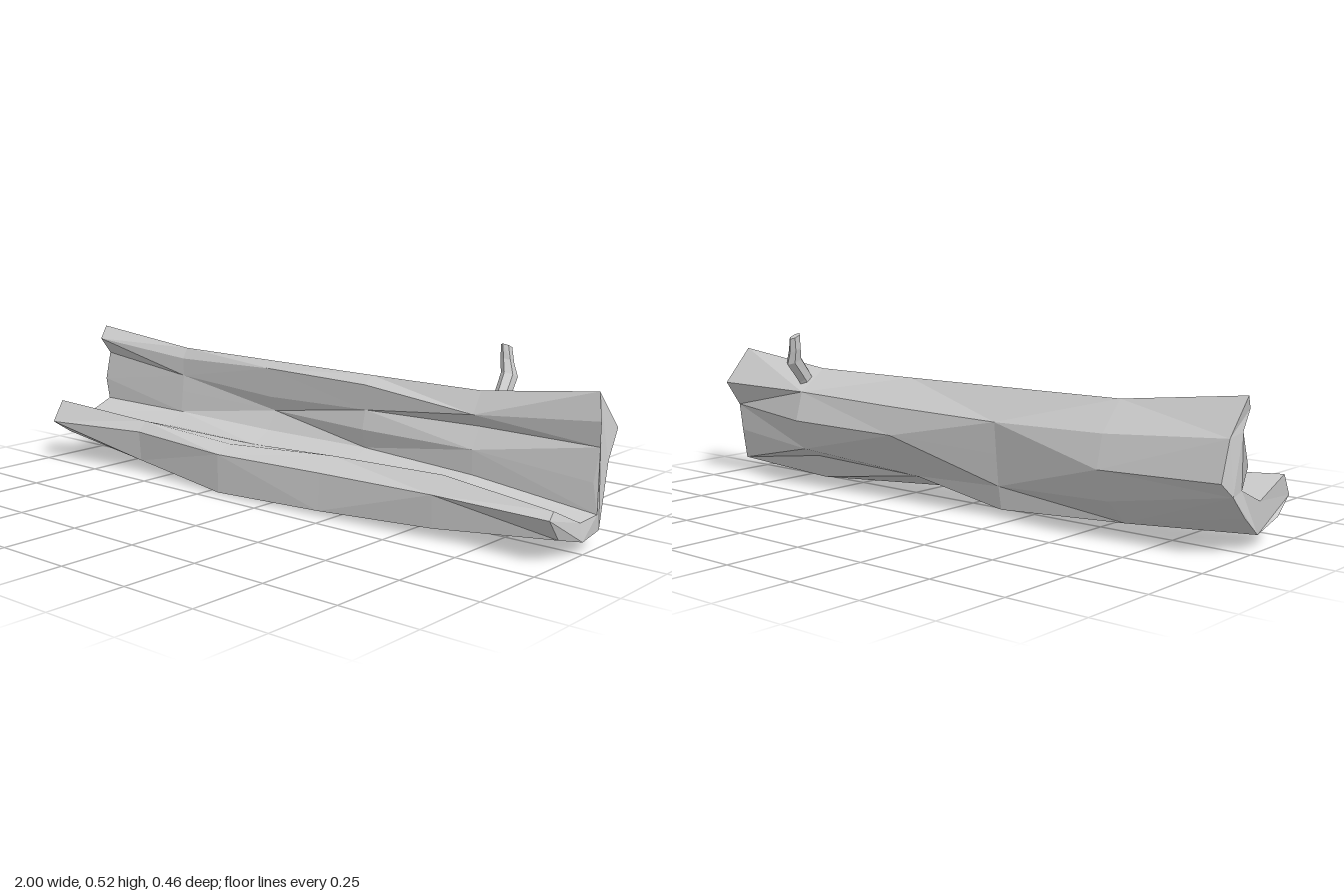
import * as THREE from 'three';

const material = new THREE.MeshStandardMaterial({ color: 0xcccccc, flatShading: true });

// Skin a list of closed rings; "flat" maps a point to 2D so that the ends can be capped.
function loft(name, rings, flat) {
  const n = rings[0].length;
  const index = [];
  for (let i = 0; i < rings.length - 1; i++) {
    for (let j = 0; j < n; j++) {
      const k = (j + 1) % n;
      const a = i * n + j, b = i * n + k, c = a + n, d = b + n;
      if ((i + j) % 2) index.push(a, b, c, b, d, c);
      else index.push(a, b, d, a, d, c);
    }
  }
  const last = (rings.length - 1) * n;
  for (const [a, b, c] of THREE.ShapeUtils.triangulateShape(rings[0].map(flat), [])) index.push(a, c, b);
  for (const [a, b, c] of THREE.ShapeUtils.triangulateShape(rings.at(-1).map(flat), []))
    index.push(last + a, last + b, last + c);
  const indexed = new THREE.BufferGeometry().setFromPoints(rings.flat());
  indexed.setIndex(index);
  const geometry = indexed.toNonIndexed();
  geometry.computeVertexNormals();
  const mesh = new THREE.Mesh(geometry, material);
  mesh.name = name;
  return mesh;
}

// Stations along the log
const stations = [-0.99, -0.6, -0.2, 0.2, 0.6, 0.99];

// Bark side as z, y pairs: front lip, under the log, up the back to the ridge
const bark = [
  [0.23, 0.13, 0.15, 0.08, 0.07, 0.04, -0.02, 0.105, -0.1, 0.175, -0.135, 0.215, -0.11, 0.335, -0.033, 0.443],
  [0.178, 0.14, 0.17, 0.04, 0.1, 0.004, -0.02, 0.03, -0.11, 0.11, -0.165, 0.21, -0.14, 0.31, -0.055, 0.4],
  [0.205, 0.13, 0.205, 0.005, 0.115, 0, -0.1, 0.025, -0.114, 0.1, -0.125, 0.2, -0.135, 0.3, -0.065, 0.398],
  [0.175, 0.13, 0.183, 0.014, 0.07, 0.02, -0.05, 0.07, -0.11, 0.14, -0.175, 0.22, -0.16, 0.31, -0.075, 0.396],
  [0.155, 0.13, 0.15, 0.03, -0.083, 0.02, -0.112, 0.098, -0.175, 0.13, -0.212, 0.23, -0.185, 0.325, -0.085, 0.396],
  [0.165, 0.13, 0.1, 0.06, 0, 0.035, -0.103, 0.045, -0.127, 0.15, -0.125, 0.24, -0.187, 0.325, -0.093, 0.44],
];

// Hollow side as z, y pairs: down the inner wall, across the floor to the lip
const hollow = [
  [0.007, 0.402, -0.04, 0.345, -0.027, 0.25, -0.025, 0.18, 0.065, 0.138, 0.18, 0.198],
  [-0.035, 0.365, -0.037, 0.305, -0.03, 0.25, -0.022, 0.18, 0.04, 0.14, 0.145, 0.172],
  [-0.04, 0.375, -0.045, 0.28, -0.07, 0.23, -0.035, 0.17, 0.04, 0.135, 0.15, 0.155],
  [-0.04, 0.37, -0.045, 0.29, -0.03, 0.23, -0.045, 0.17, 0.03, 0.13, 0.11, 0.172],
  [-0.045, 0.33, -0.08, 0.29, -0.045, 0.225, -0.045, 0.15, 0.02, 0.115, 0.1, 0.178],
  [-0.078, 0.36, -0.09, 0.285, -0.078, 0.185, -0.075, 0.097, 0.005, 0.09, 0.13, 0.148],
];

function createLog() {
  const rings = stations.map((x, i) => {
    const zy = [...bark[i], ...hollow[i]];
    const ring = [];
    for (let j = 0; j < zy.length; j += 2) {
      // Slightly uneven broken ends
      const jag = Math.abs(x) > 0.9 ? 0.01 * Math.sin(j * 2.1) : 0;
      ring.push(new THREE.Vector3(x + jag, zy[j + 1], zy[j]));
    }
    return ring;
  });
  return loft('hollowLog', rings, (p) => new THREE.Vector2(-p.z, p.y));
}

// Bent stub on the back: centre x, y, z, half widths in x and z, and drop towards the back
function createBranch() {
  const steps = [
    [0.636, 0.33, -0.115, 0.022, 0.02, 0.02],
    [0.632, 0.373, -0.145, 0.023, 0.02, 0.02],
    [0.623, 0.43, -0.196, 0.024, 0.028, 0.012],
    [0.61, 0.47, -0.203, 0.02, 0.021, 0.01],
    [0.603, 0.514, -0.208, 0.015, 0.021, 0.009],
  ];
  const rings = steps.map(([x, y, z, rx, rz, drop]) =>
    Array.from({ length: 6 }, (_, k) => {
      const a = ((k + 0.5) / 6) * Math.PI * 2;
      const s = Math.sin(a);
      return new THREE.Vector3(x + rx * Math.cos(a), y - drop * s, z - rz * s);
    }));
  return loft('branchStub', rings, (p) => new THREE.Vector2(p.x, -p.z));
}

export function createModel() {
  const group = new THREE.Group();
  group.name = 'fallenLog';
  group.add(createLog(), createBranch());
  return group;
}
